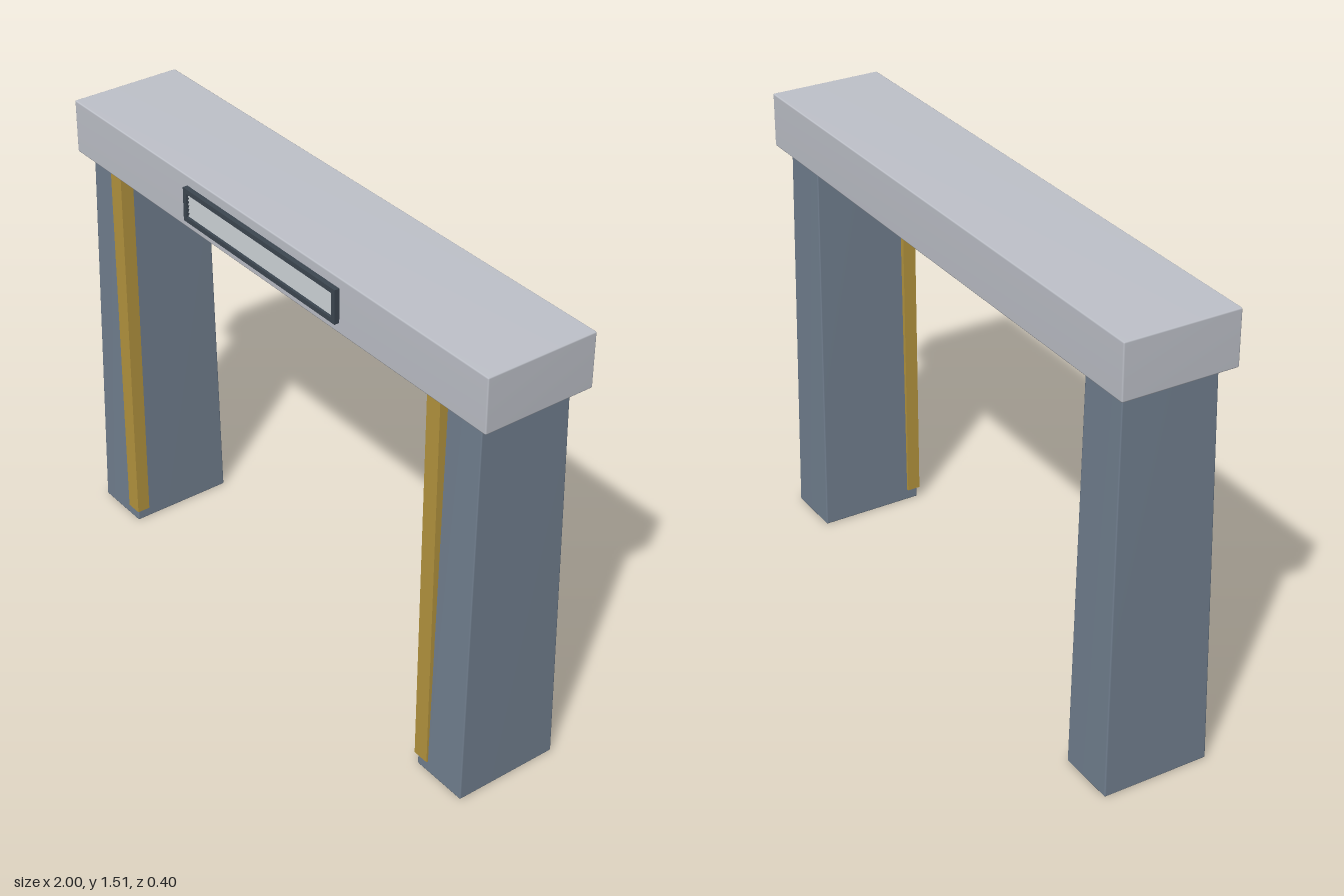
import * as THREE from 'three';
import { mergeVertices } from 'three/addons/utils/BufferGeometryUtils.js';
import { RoundedBoxGeometry } from 'three/addons/geometries/RoundedBoxGeometry.js';

const material = (name, color) => {
  const m = new THREE.MeshStandardMaterial({ color });
  m.name = name;
  return m;
};

// Box with a small bevel and smooth shading, optionally tapered towards the top
function bevelBox(w, h, d, bevel, taperX = 1, taperZ = 1) {
  let geo = new RoundedBoxGeometry(w, h, d, 1, bevel);
  geo.deleteAttribute('normal');
  geo.deleteAttribute('uv');
  geo.clearGroups();
  geo = mergeVertices(geo, 1e-5);
  const p = geo.attributes.position;
  for (let i = 0; i < p.count; i++) {
    const t = p.getY(i) / h + 0.5;
    p.setX(i, p.getX(i) * (1 + (taperX - 1) * t));
    p.setZ(i, p.getZ(i) * (1 + (taperZ - 1) * t));
  }
  geo.computeVertexNormals();
  return geo;
}

export function createModel() {
  const model = new THREE.Group();
  model.name = 'gateway';

  const concrete = material('pale concrete', 0xbfc2ca);
  const slate = material('slate blue', 0x728090);
  const gold = material('ochre gold', 0xb6963f);
  const dark = material('dark steel', 0x3d4751);
  const metal = material('light metal', 0xb4b9bd);

  const add = (parent, name, geo, mat, x, y, z) => {
    const mesh = new THREE.Mesh(geo, mat);
    mesh.name = name;
    mesh.position.set(x, y, z);
    parent.add(mesh);
    return mesh;
  };

  // Lintel across the top
  add(model, 'lintel', bevelBox(2, 0.18, 0.38, 0.005), concrete, 0, 1.425, -0.007);

  // Tapered pillars, each with an upright trim strip on its inner front corner
  const pillarGeo = bevelBox(0.2, 1.34, 0.36, 0.005, 0.885, 0.87);
  const stripGeo = new THREE.BoxGeometry(0.056, 1.3, 0.045);
  for (const [side, s] of [['left', 1], ['right', -1]]) {
    add(model, side + 'Pillar', pillarGeo, slate, s * 0.863, 0.67, -0.005);
    add(model, side + 'TrimStrip', stripGeo, gold, s * 0.783, 0.69, 0.1575);
  }

  // Vent on the lintel front: frame, back plate and tilted slats
  const vent = new THREE.Group();
  vent.name = 'vent';
  vent.position.set(-0.001, 1.426, 0.182);
  model.add(vent);

  const rect = (target, w, h) => {
    target.moveTo(-w / 2, -h / 2);
    target.lineTo(w / 2, -h / 2);
    target.lineTo(w / 2, h / 2);
    target.lineTo(-w / 2, h / 2);
    target.closePath();
    return target;
  };
  const frame = rect(new THREE.Shape(), 0.744, 0.112);
  frame.holes.push(rect(new THREE.Path(), 0.712, 0.08));
  add(vent, 'ventFrame', new THREE.ExtrudeGeometry(frame, { depth: 0.018, bevelEnabled: false }),
    dark, 0, 0, 0);
  add(vent, 'ventBack', new THREE.BoxGeometry(0.714, 0.082, 0.004), dark, 0, 0, 0.002);

  const slatGeo = new THREE.BoxGeometry(0.708, 0.011, 0.003);
  for (let i = 0; i < 6; i++) {
    const slat = add(vent, 'ventSlat', slatGeo, metal, 0, -0.0325 + i * 0.013, 0.009);
    slat.rotation.x = -0.5;
  }
  return model;
}
